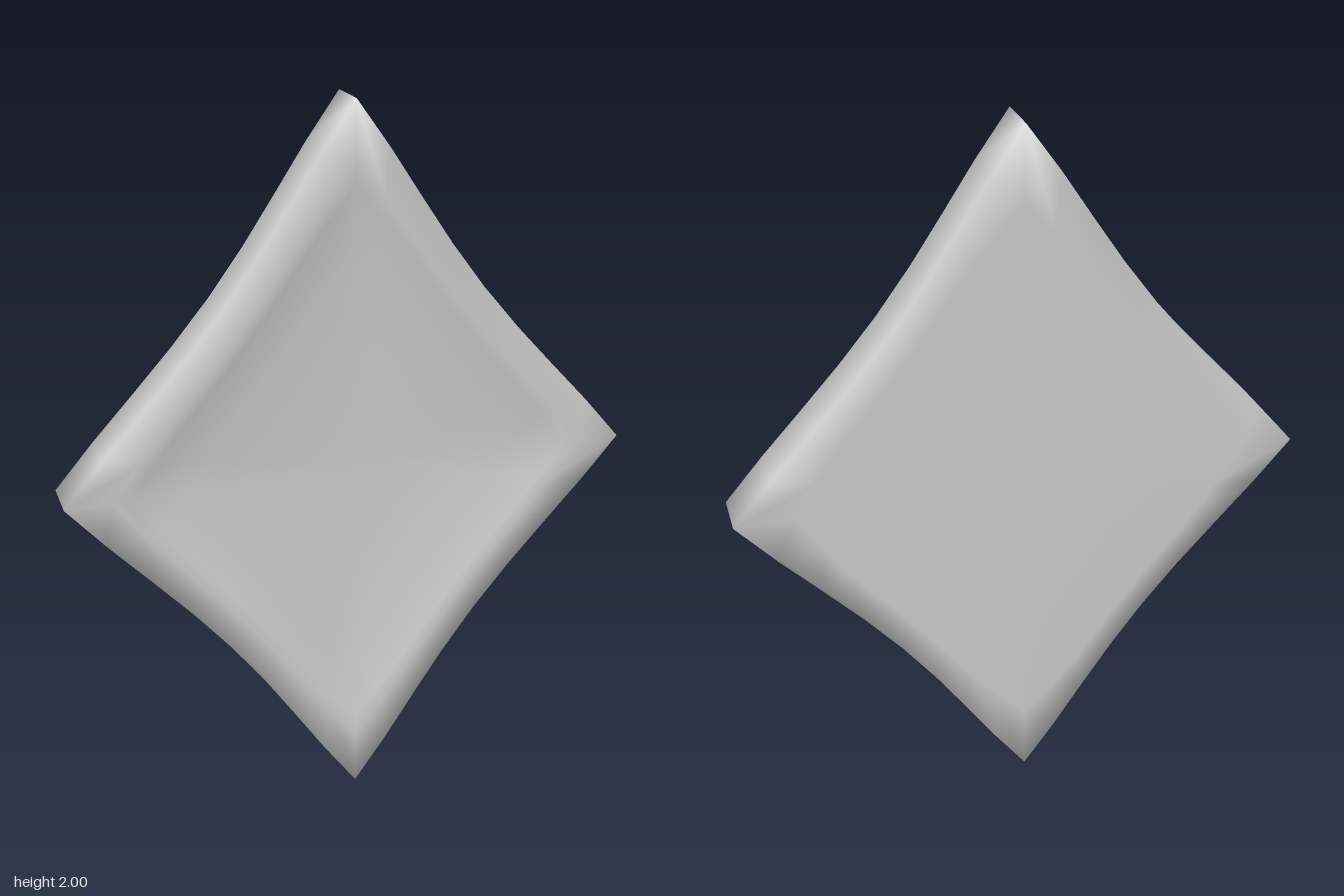
import * as THREE from 'three';

const HALF_W = 0.792, HALF_H = 1, SEG = 8;

// Diamond outline, counter-clockwise from the left tip: sides bowed inwards, corners optionally blunted
function outline(scale, bow, blunt) {
  const corners = [[1, 0], [0, 1], [-1, 0], [0, -1]];
  const pts = [];
  corners.forEach(([ax, ay], i) => {
    const [bx, by] = corners[(i + 1) % 4];
    for (let k = 0; k < SEG; k++) {
      const t = k / SEG;
      const dip = bow * Math.pow(Math.sin(Math.PI * t), 1.7);
      const s = scale * (1 - blunt * Math.pow(Math.cos(Math.PI * t), 8));
      pts.push([
        s * ((ax + (bx - ax) * t) * HALF_W - (ax + bx) * dip),
        s * ((ay + (by - ay) * t) * HALF_H - (ay + by) * dip * 0.4),
      ]);
    }
  });
  return pts;
}

// Joins the outlines into one smooth closed skin
function ringSkin(rings) {
  const n = SEG * 4, pos = [], index = [];
  rings.forEach(({ s, z, bow, blunt }) =>
    outline(s, bow, blunt).forEach(([x, y]) => pos.push(x, y + HALF_H, z)));
  for (let r = 0; r < rings.length - 1; r++) {
    for (let i = 0; i < n; i++) {
      const j = (i + 1) % n;
      const a = r * n + i, b = r * n + j, c = a + n, d = b + n;
      index.push(a, c, d, a, d, b);
    }
  }
  // centre points close the recessed floor and the back
  const front = pos.length / 3, last = (rings.length - 1) * n;
  pos.push(0, HALF_H, rings[0].z, 0, HALF_H, rings[rings.length - 1].z);
  for (let i = 0; i < n; i++) {
    const j = (i + 1) % n;
    index.push(front, i, j, front + 1, last + j, last + i);
  }
  const g = new THREE.BufferGeometry();
  g.setAttribute('position', new THREE.Float32BufferAttribute(pos, 3));
  g.setIndex(index);
  g.computeVertexNormals();
  return g;
}

export function createModel() {
  const group = new THREE.Group();
  group.name = 'diamondPlate';
  const plate = new THREE.Mesh(
    ringSkin([
      { s: 0.6, z: 0.032, bow: 0.01, blunt: 0.03 },    // recessed floor
      { s: 0.8, z: 0.067, bow: 0.025, blunt: 0.02 },   // raised rim
      { s: 0.86, z: 0.071, bow: 0.03, blunt: 0.02 },
      { s: 1, z: 0.067, bow: 0.036, blunt: 0 },        // outer wall
      { s: 1, z: -0.069, bow: 0.036, blunt: 0 },
      { s: 0.85, z: -0.074, bow: 0.025, blunt: 0.06 }, // flat back
    ]),
    new THREE.MeshStandardMaterial({ color: 0xcccccc })
  );
  plate.name = 'plate';
  group.add(plate);
  return group;
}
